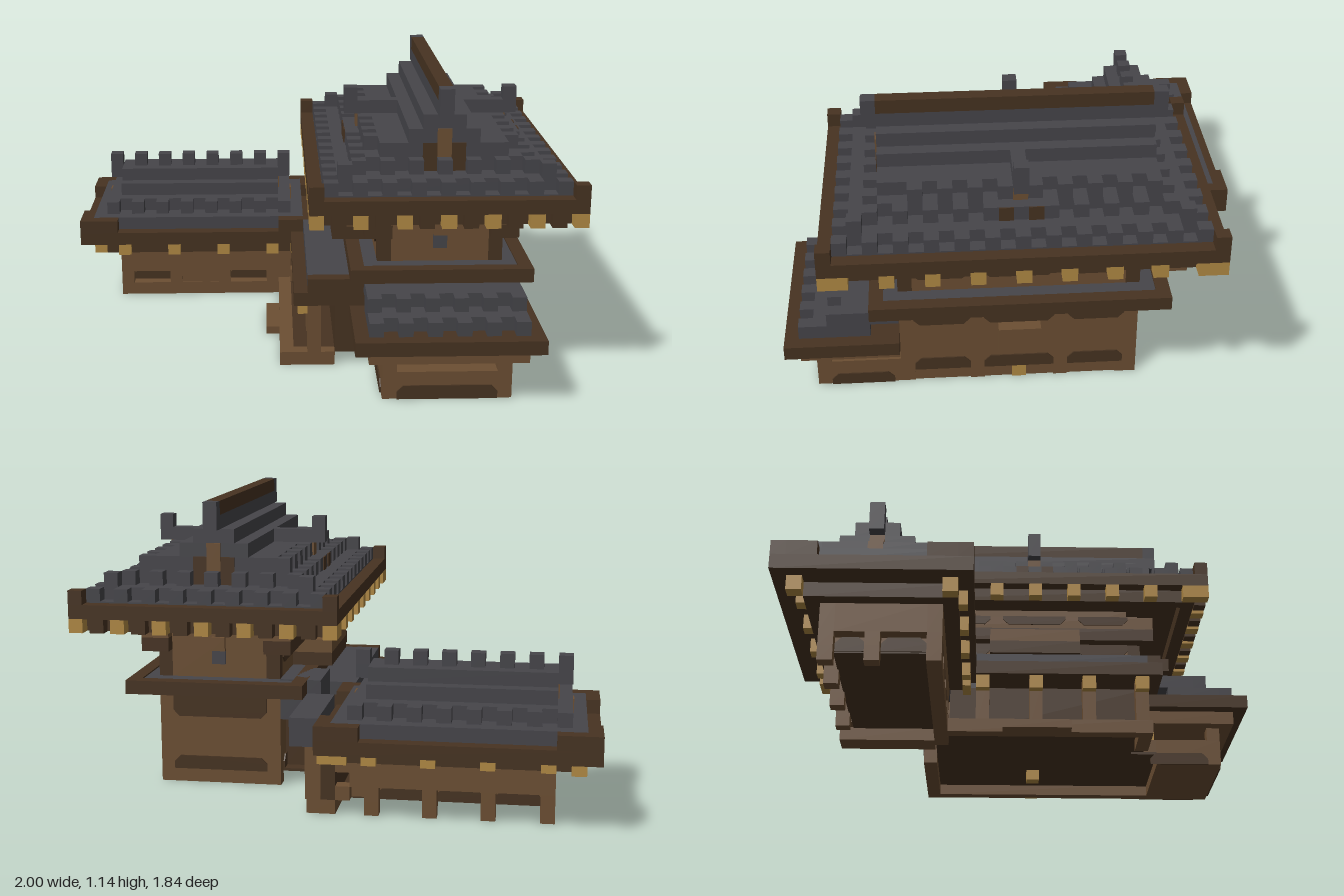
import * as THREE from 'three';
import { mergeGeometries } from 'three/addons/utils/BufferGeometryUtils.js';

const U = 2 / 37; // edge length of one block

export function createModel() {
  const root = new THREE.Group();
  root.name = 'temple';
  const mat = (name, color) => {
    const m = new THREE.MeshStandardMaterial({ color });
    m.name = name;
    return m;
  };
  const wood = mat('wood', 0x6c4f33);
  const dark = mat('darkWood', 0x473321);
  const gold = mat('gold', 0xb28a44);
  const tile = mat('roofTile', 0x46454a);

  // Box between block indices: x 0..37, y 0..21, z 0..34
  const geo = (x0, x1, y0, y1, z0, z1) =>
    new THREE.BoxGeometry((x1 - x0) * U, (y1 - y0) * U, (z1 - z0) * U)
      .translate(((x0 + x1) / 2 - 18.5) * U, ((y0 + y1) / 2) * U, ((z0 + z1) / 2 - 17) * U);
  const add = (name, material, geometry) => {
    const mesh = new THREE.Mesh(geometry, material);
    mesh.name = name;
    root.add(mesh);
  };
  const box = (name, m, ...b) => add(name, m, geo(...b));
  const boxes = (name, m, list) => add(name, m, mergeGeometries(list.map(b => geo(...b))));

  // Rectangular frame one block wide
  const ring = (x0, x1, y0, y1, z0, z1) => [
    [x0, x1, y0, y1, z0, z0 + 1], [x0, x1, y0, y1, z1 - 1, z1],
    [x0, x0 + 1, y0, y1, z0 + 1, z1 - 1], [x1 - 1, x1, y0, y1, z0 + 1, z1 - 1]];
  // Single blocks spaced along the edges of a rectangle
  const teeth = (x0, x1, y, z0, z1, sides = 'xz') => {
    const out = [];
    if (sides.includes('z')) for (let x = x0; x < x1; x += 2)
      for (const z of [z0, z1 - 1]) out.push([x, x + 1, y, y + 1, z, z + 1]);
    if (sides.includes('x')) for (let z = z0 + (sides === 'x' ? 0 : 2); z < z1 - 1; z += 2)
      for (const x of [x0, x1 - 1]) out.push([x, x + 1, y, y + 1, z, z + 1]);
    return out;
  };
  // Angle pieces of arm length n on the four corners of a rectangle
  const corners = (x0, x1, y0, y1, z0, z1, n) => [0, 1].flatMap(i => [0, 1].flatMap(k => {
    const x = i ? x1 - n : x0, z = k ? z1 - n : z0, ex = i ? x1 - 1 : x0, ez = k ? z1 - 1 : z0;
    const out = [[x, x + n, y0, y1, ez, ez + 1]];
    if (n > 1) out.push([ex, ex + 1, y0, y1, k ? z : z + 1, k ? z + n - 1 : z + n]);
    return out;
  }));

  // Thin panel with two cut corners; a..b runs along the wall, side is the facing
  const panel = (name, m, a, b, y0, y1, at, side, cutTop) => {
    const c = 0.45, s = new THREE.Shape();
    const ct = cutTop ? c : 0, cb = cutTop ? 0 : c, w = (b - a) / 2;
    s.moveTo(-w + cb, y0); s.lineTo(w - cb, y0); s.lineTo(w, y0 + cb);
    s.lineTo(w, y1 - ct); s.lineTo(w - ct, y1); s.lineTo(-w + ct, y1);
    s.lineTo(-w, y1 - ct); s.lineTo(-w, y0 + cb);
    const g = new THREE.ExtrudeGeometry(s, { depth: 0.1, bevelEnabled: false });
    const mid = (a + b) / 2;
    g.rotateY({ front: 0, back: Math.PI, left: Math.PI / 2, right: -Math.PI / 2 }[side]);
    if (side === 'front' || side === 'back') g.translate(mid - 18.5, 0, at - 17);
    else g.translate(at - 18.5, 0, mid - 17);
    add(name, m, g.scale(U, U, U));
  };

  // ---- Tower: lower storey
  const bays = [[10, 14], [15, 20], [21, 25]];
  boxes('towerFooting', wood, [[23, 32, 0, 1, 9, 10], [31, 31.9, 0, 1, 10, 27],
    ...[[10, 10.5], [14, 15], [20, 21], [25, 27]].map(([a, b]) => [31.9, 32, 0, 1, a, b])]);
  box('towerFloor', dark, 23, 31, 0.8, 1, 10, 27);
  box('lowerWall', wood, 23, 32, 1, 7, 9, 26);
  box('sideBay', wood, 32, 33, 3, 5, 16, 19);
  box('sideLantern', gold, 31.8, 32.05, 0, 1, 17, 18);
  box('floorLantern', gold, 27, 28, 0, 0.8, 17, 18);
  for (const [a, b] of bays) {
    for (const [side, x] of [['left', 32], ['right', 23]]) {
      panel('lowerPanel', dark, a, b, 1, 2, x, side, true);
      panel('upperPanel', dark, a, b, 5, 7, x, side, false);
    }
  }
  box('smallWindow', tile, 32, 32.17, 6, 6.8, 22, 23);
  boxes('smallShutter', wood, [[32, 32.17, 6, 6.8, 17, 18], [32, 32.17, 6, 6.8, 12, 13]]);
  panel('backPanel', dark, 24, 31, 5, 7, 9, 'back', false);
  panel('backLowerPanel', dark, 24, 31, 1, 2, 9, 'back', true);

  // ---- Front porch and its roof
  box('porchLowWall', wood, 23, 32, 0, 2, 27, 32);
  box('porchSill', wood, 23, 32, 1, 2, 26, 27);
  boxes('porchPost', wood, [[23, 24, 2, 3, 31, 32], [31, 32, 2, 3, 31, 32]]);
  box('porchBeam', wood, 22, 33, 3, 4, 26, 33);
  panel('porchPanel', dark, 24, 31, 0, 1, 32, 'front', true);
  for (const [side, x] of [['left', 32], ['right', 23]])
    panel('porchSidePanel', dark, 26.5, 31, 0, 0.9, x, side, true);
  boxes('porchLantern', gold, [[24, 25, 2, 3, 26, 27], [30, 31, 2, 3, 26, 27]]);
  box('porchEave', dark, 21, 34, 4, 5, 26, 34);
  box('porchRoof', tile, 22, 33, 5, 6, 28, 32);
  box('porchUpperRoof', tile, 22, 33, 6, 7, 26, 30);
  const porchTeeth = [];
  for (let x = 22; x < 33; x += 2)
    porchTeeth.push([x, x + 1, 5, 6, 32, 33], [x, x + 1, 6, 7, 30, 31]);
  boxes('porchTiles', tile, porchTeeth);

  // ---- Skirt roof between the storeys
  boxes('skirtEave', dark, ring(21, 34, 7, 8, 7, 28));
  box('skirtRoof', tile, 22, 33, 6.85, 7.9, 8, 27);

  // ---- Tower: upper storey
  box('upperWall', wood, 24, 31, 8, 13, 9, 26);
  boxes('cornerPost', dark, [23, 31].flatMap(x => [9, 25].map(z => [x, x + 1, 8, 10, z, z + 1])));
  boxes('upperSideWall', wood, [[23, 24, 8, 13, 10, 25], [31, 32, 8, 13, 10, 25]]);
  boxes('bracketBeam', dark, [[22, 24, 10, 11, 8, 27], [31, 33, 10, 11, 8, 27]]);
  boxes('bracketBlock', wood, [[22, 24, 11, 12, 8, 27], [31, 33, 11, 12, 8, 27]]);
  for (const [a, b] of bays) for (const [side, s] of [['left', 1], ['right', -1]]) {
    panel('upperWindow', dark, a, b, 9, 10, 27.5 + 4.5 * s, side, false);
    panel('bracketPanel', dark, a, b, 11.3, 12, 27.5 + 5.5 * s, side, false);
  }
  boxes('gableWindow', tile, [[27, 28, 9, 10, 26, 26.15], [27, 28, 9, 10, 8.85, 9]]);
  boxes('gableWindowHood', wood, [[27, 28, 10, 11, 26, 26.3], [27, 28, 10, 11, 8.7, 9]]);
  // Bay on the courtyard side
  box('courtBayBase', dark, 20, 23, 8, 9, 14, 21);
  box('courtBayTop', wood, 20, 23, 9, 10, 14, 21);

  // ---- Main roof
  box('mainEave', dark, 18, 37, 13, 14, 4, 31);
  boxes('mainEaveCorner', dark, corners(18, 37, 14, 15, 4, 31, 1));
  const rafters = [], spacers = [];
  for (let x = 18; x < 37; x += 3) for (const z of [4, 30]) {
    rafters.push([x, x + 1, 12, 13, z, z + 1]);
    if (x < 36) spacers.push([x + 1.5, x + 2.5, 12, 13, z + 0.05, z + 0.95]);
  }
  for (let z = 5; z < 30; z += 3) for (const x of [18, 36])
    rafters.push([x, x + 1, 12, 13, z, z + 1]);
  boxes('rafterEnds', gold, rafters);
  boxes('rafterSpacers', dark, spacers);
  boxes('rafterBeam', dark, ring(19, 36, 12, 13, 5, 30));
  box('mainRoofBase', tile, 19, 36, 14, 14.1, 5, 30);
  box('mainRoofStep1', tile, 20, 35, 14, 15, 6, 29);
  box('mainRoofStep2', tile, 22, 33, 15, 16, 8, 27);
  box('mainRoofStep3', tile, 23, 32, 16, 17, 8, 27);
  box('mainRoofStep4', tile, 25, 30, 17, 18, 8, 27);
  box('mainRoofStep5', tile, 26, 29, 18, 19, 8, 27);
  boxes('mainRoofTiles', tile, [
    ...teeth(19, 36, 14, 5, 30), ...teeth(21, 34, 15, 7, 28),
    ...teeth(22, 33, 16, 8, 27, 'x'), ...corners(20, 35, 15, 16, 6, 29, 1)]);
  boxes('ridge', tile, [[27, 28, 19, 20, 7, 28], [27, 28, 20, 21, 7, 8], [27, 28, 20, 21, 27, 28]]);
  box('ridgeCap', dark, 27, 28, 20, 21, 8, 27);
  // Cross gables with end finials
  box('crossGableFoot', tile, 21, 34, 15, 16, 16, 19);
  box('crossGable', tile, 22, 33, 16, 17, 16, 19);
  box('crossRidge', tile, 22, 33, 17, 18, 17, 18);
  boxes('crossFinial', tile, [[21, 22, 17, 19, 17, 18], [33, 34, 17, 19, 17, 18]]);
  // Gable ornaments on all four faces
  boxes('gableBoard', dark, [
    ...[26, 28].flatMap(x => [[x, x + 1, 15, 17, 27, 27.1], [x, x + 1, 15, 17, 7.9, 8]]),
    ...[16, 18].flatMap(z => [[34, 34.1, 15, 16, z, z + 1], [20.9, 21, 15, 16, z, z + 1]])]);
  boxes('gableKingPost', wood, [
    [27, 28, 16, 18, 27, 27.15], [27, 28, 16, 18, 7.85, 8],
    [33, 33.15, 16, 17, 17, 18], [21.85, 22, 16, 17, 17, 18]]);

  // ---- Side wing
  const legs = [[3, 19, 0, 1, 10, 11], [3, 4, 0, 1, 6, 7], [18, 20, 0, 1, 3, 10]];
  for (const x of [3, 7, 11, 15]) legs.push([x, x + 1, 0, 1, 3, 4]);
  boxes('wingLeg', wood, legs);
  box('wingWall', wood, 4, 17, 1, 4, 4, 10);
  box('wingFloor', dark, 4, 18, 0.9, 1, 4, 10);
  const posts = [[3, 4, 1, 2, 6, 7]];
  for (const z of [3, 10]) {
    for (const x of [3, 7, 11, 15]) posts.push([x, x + 1, 1, 2, z, z + 1]);
    posts.push([17, 18, 1, 2, z, z + 1], [17, 18, 3, 4, z, z + 1]);
  }
  boxes('wingPost', wood, posts);
  boxes('wingBeam', wood, ring(3, 17, 2, 4, 3, 11));
  box('wingDoor', wood, 8, 11, 1, 2, 10, 10.9);
  for (const [a, b] of [[4, 7], [12, 15]]) panel('wingPanel', dark, a, b, 1, 2, 10, 'front', true);
  for (const [a, b] of [[4, 7], [8, 11], [12, 15]]) panel('wingBackPanel', dark, a, b, 1, 2, 4, 'back', true);
  for (const [a, b] of [[4, 6], [7, 10]]) panel('wingEndPanel', dark, a, b, 1, 2, 4, 'right', true);
  box('wingUnderEave', dark, 2, 18, 4, 5, 2, 12);
  const lanterns = [[1, 2, 4, 5, 1, 2], [1, 2, 4, 5, 11, 12]];
  for (const x of [3, 7, 11, 15, 17, 18])
    lanterns.push([x, x + 1, 4, 5, 12, 12.6], [x, x + 1, 4, 5, 1.4, 2]);
  boxes('wingRafterEnds', gold, lanterns);
  box('wingEave', dark, 0, 19, 5, 6, 0, 13);
  boxes('wingEaveCorner', dark, corners(0, 19, 6, 7, 0, 13, 3));
  box('wingRoofStep1', tile, 1, 18, 6, 7, 1, 12);
  box('wingRoofStep2', tile, 2, 17, 7, 8, 3, 10);
  box('wingRoofStep3', tile, 3, 16, 8, 9, 4, 9);
  box('wingRoofStep4', tile, 3, 16, 9, 10, 5, 8);
  boxes('wingRoofTiles', tile, teeth(2, 17, 7, 2, 11, 'z'));
  const ridgeTeeth = [[2, 3, 9, 10, 6, 7], [16, 17, 9, 10, 6, 7]];
  for (let x = 2; x < 17; x += 2) ridgeTeeth.push([x, x + 1, 10, 11, 6, 7]);
  boxes('wingRidgeTiles', tile, ridgeTeeth);
  boxes('wingGable', wood, [[2.9, 3, 8, 9, 6, 7], [16, 16.1, 8, 9, 6, 7],
    [1.9, 2, 7, 8, 6, 7], [17, 17.1, 7, 8, 6, 7]]);

  // ---- Link between wing and tower
  box('linkWall', dark, 18, 20, 1, 5, 3, 10);
  box('linkCornerPost', wood, 19, 20.1, 1, 5, 2.95, 4);
  box('linkWindow', wood, 20, 20.15, 2, 4, 6, 7);
  box('linkRoof', tile, 19, 21, 5, 7, 2, 9);
  box('linkUpperRoof', tile, 20, 23, 5, 8, 9, 13);

  // ---- Veranda along the tower
  box('verandaFloor', dark, 17, 23, 0.8, 1, 10, 25);
  boxes('verandaEdge', wood, [[16, 17, 0, 1, 11, 26], [17, 20, 0, 1, 25, 26]]);
  box('verandaStep', wood, 15, 16, 0, 0.6, 15, 20);
  box('verandaWall', dark, 20, 23, 1, 5, 11, 26);
  boxes('verandaPost', wood, [13, 17, 21, 25].map(z => [18, 19, 1, 5, z, z + 1]));
  boxes('verandaLantern', gold, [13, 17, 21, 25].map(z => [17.3, 18, 4, 5, z, z + 1]));
  box('verandaEave', dark, 17, 23, 5, 6, 13, 27);
  box('verandaRoof', tile, 18, 23, 6, 7, 13, 26);
  box('verandaRoofEnd', dark, 18, 22, 6, 7, 26, 27);
  return root;
}
